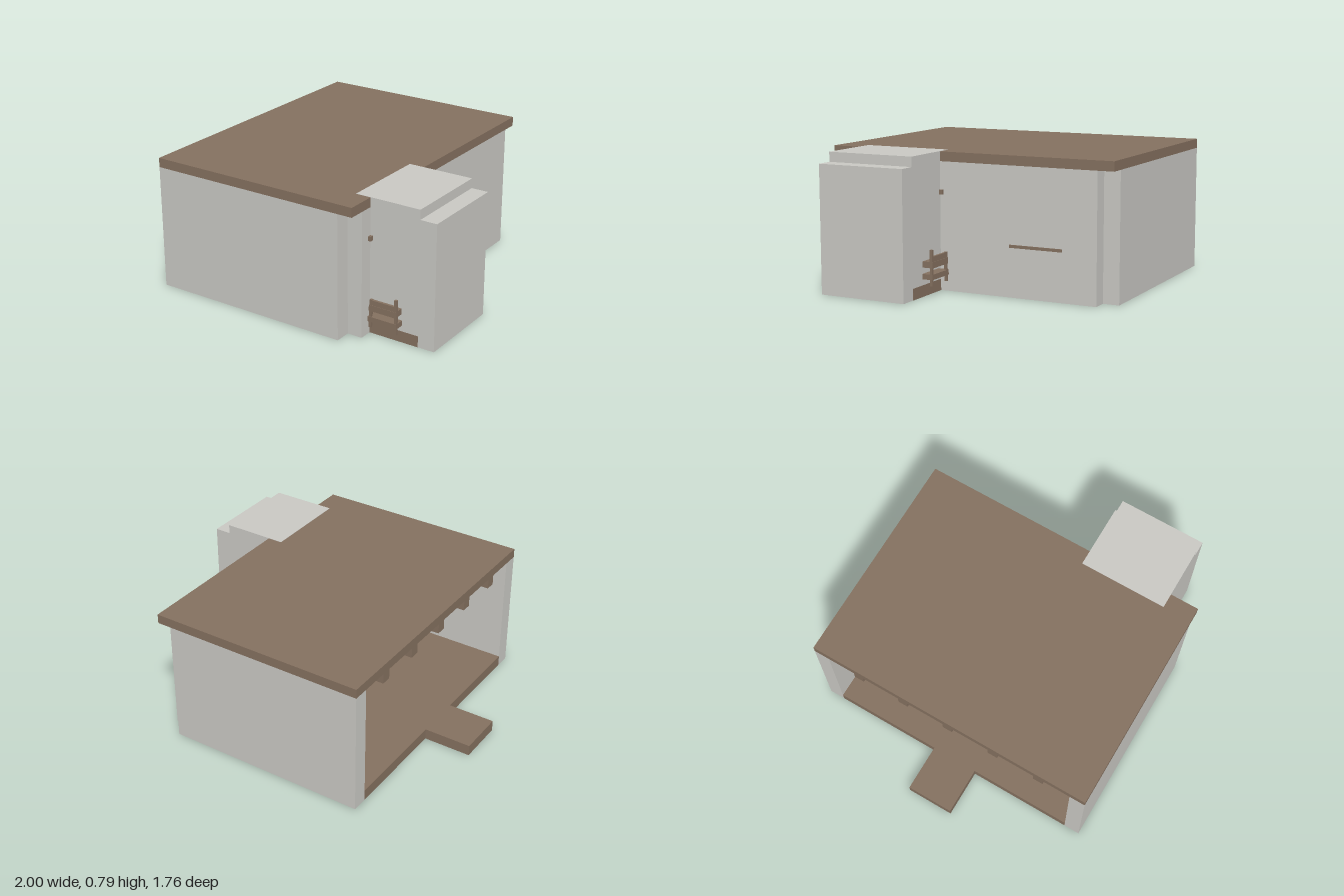
import * as THREE from 'three';

export function createModel() {
  const house = new THREE.Group();
  house.name = 'openRoom';

  const wood = new THREE.MeshStandardMaterial({ color: 0x84705f });
  wood.name = 'brownWood';
  const plaster = new THREE.MeshStandardMaterial({ color: 0xc9c8c3 });
  plaster.name = 'paleWall';

  // Box given by its lower and upper limits along each axis
  function box(name, material, [x0, x1], [y0, y1], [z0, z1], parent = house) {
    const mesh = new THREE.Mesh(new THREE.BoxGeometry(x1 - x0, y1 - y0, z1 - z0), material);
    mesh.position.set((x0 + x1) / 2, (y0 + y1) / 2, (z0 + z1) / 2);
    mesh.name = name;
    parent.add(mesh);
    return mesh;
  }

  const left = -0.715, inner = 0.505, outer = 0.595;
  const deep = 0.88, wallZ = 0.785;
  const floorTop = 0.065, ceiling = 0.735, top = 0.79;
  const nookBack = 0.172, nookFront = 0.705, nookEnd = 0.9;

  // Floor, entrance step and flat roof
  box('floor', wood, [left, inner], [0, floorTop], [-wallZ, wallZ]);
  box('entranceStep', wood, [-1, left], [0, floorTop], [-0.125, 0.16]);
  box('roof', wood, [left, outer], [ceiling, top], [-deep, deep]);

  // Walls: the left side stays open, the right wall opens into the nook
  box('frontWall', plaster, [left, inner], [0, ceiling], [wallZ, deep]);
  box('backWall', plaster, [left, inner], [0, ceiling], [-deep, -wallZ]);
  box('rightWallBack', plaster, [inner, outer], [0, ceiling], [-wallZ, nookBack]);
  box('rightWallFront', plaster, [inner, outer], [0, ceiling], [nookFront, wallZ]);

  // Ceiling beams running across the room
  for (let i = -2; i <= 2; i++) {
    const z = i * 0.293;
    box('ceilingBeam', wood, [left, inner], [ceiling - 0.06, ceiling], [z - 0.03, z + 0.03]);
  }

  // Nook projecting from the right wall
  const nook = new THREE.Group();
  nook.name = 'nook';
  house.add(nook);
  box('nookFloor', wood, [inner, nookEnd], [-0.0005, floorTop], [nookBack - 0.001, nookFront + 0.001], nook);
  box('nookRoof', plaster, [inner, nookEnd], [ceiling, top + 0.0015], [nookBack, nookFront], nook);
  box('nookEndWall', plaster, [nookEnd, 1], [0, ceiling], [nookBack, nookFront], nook);
  box('nookBackWall', plaster, [inner, nookEnd], [0, ceiling], [nookBack, nookBack + 0.04], nook);
  box('nookFrontWall', plaster, [inner, nookEnd], [0, ceiling], [nookFront - 0.04, nookFront], nook);

  // Bench whose ends reach through the nook walls
  const bench = new THREE.Group();
  bench.name = 'bench';
  house.add(bench);
  const z0 = 0.107, z1 = 0.765;
  box('benchShelf', wood, [0.62, 0.8], [0.1, 0.13], [z0, z1], bench);
  box('benchSeat', wood, [0.627, 0.795], [0.165, 0.2], [z0, z1], bench);
  for (const z of [z0 + 0.002, z1 - 0.017]) {
    box('benchBackPost', wood, [0.785, 0.8], [floorTop, 0.268], [z, z + 0.015], bench);
    const leg = box('benchFrontLeg', wood, [0.628, 0.642], [floorTop, 0.232], [z, z + 0.015], bench);
    leg.rotation.z = -0.04;
    box('benchArm', wood, [0.635, 0.79], [0.2, 0.23], [z, z + 0.015], bench);
  }

  // Curtain rod across the nook opening
  box('curtainRod', wood, [0.595, 0.611], [0.549, 0.576], [0.152, 0.725]);

  // Narrow table against the right wall, its edge showing outside
  box('tableTop', wood, [0.33, 0.6], [0.28, 0.297], [-0.58, -0.263]);
  for (const z of [-0.57, -0.293]) {
    box('tableLeg', wood, [0.34, 0.36], [floorTop, 0.28], [z, z + 0.02]);
  }

  return house;
}
